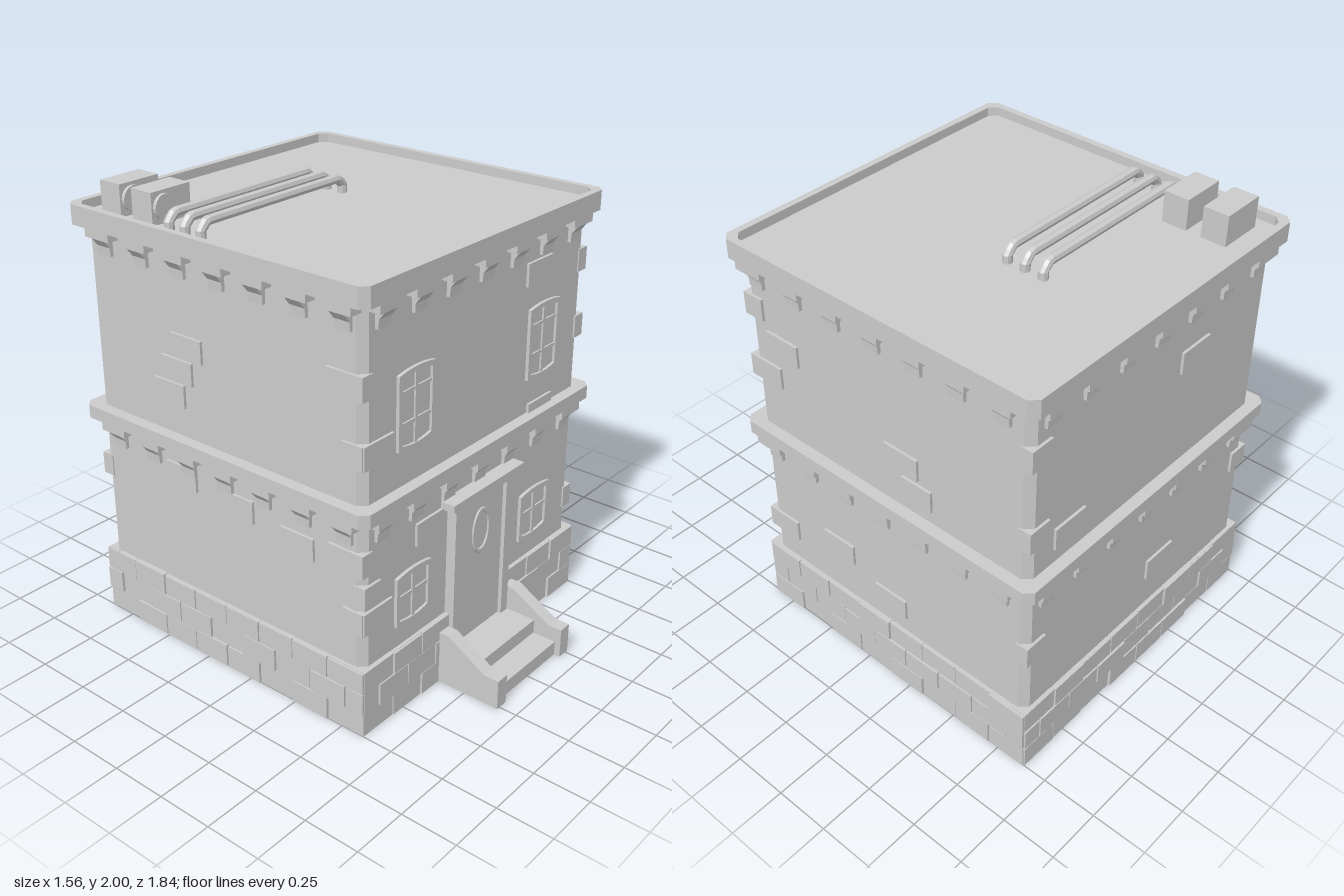
import * as THREE from 'three';

const CZ = -0.137; // building centre in z
const grey = new THREE.MeshStandardMaterial({ color: 0xcccccc, flatShading: true });
const shellGrey = new THREE.MeshStandardMaterial({ color: 0xcccccc, flatShading: true, side: THREE.DoubleSide });

function add(parent, name, geo, x = 0, y = 0, z = 0, mat = grey) {
  const m = new THREE.Mesh(geo, mat);
  m.name = name;
  m.position.set(x, y, z);
  parent.add(m);
  return m;
}

// Box given by its limits on each axis
function block(parent, name, x0, x1, y0, y1, z0, z1) {
  return add(parent, name, new THREE.BoxGeometry(x1 - x0, y1 - y0, z1 - z0),
    (x0 + x1) / 2, (y0 + y1) / 2, (z0 + z1) / 2);
}

// Open shell through chamfered squares; levels are [y, half width]
function loft(levels) {
  const ring = ([y, h]) => {
    const c = h ? h - 0.033 : 0;
    return [[h, c], [c, h], [-c, h], [-h, c], [-h, -c], [-c, -h], [c, -h], [h, -c]].map(([x, z]) => [x, y, z]);
  };
  const pos = [];
  for (let i = 0; i + 1 < levels.length; i++) {
    const a = ring(levels[i]), b = ring(levels[i + 1]);
    for (let j = 0; j < 8; j++) {
      const k = (j + 1) % 8;
      pos.push(...a[j], ...b[j], ...b[k], ...a[j], ...b[k], ...a[k]);
    }
  }
  const g = new THREE.BufferGeometry();
  g.setAttribute('position', new THREE.Float32BufferAttribute(pos, 3));
  g.computeVertexNormals();
  return g;
}

// Side profile of [z, y] points, extruded across x and centred
function sideExtrude(points, width) {
  const g = new THREE.ExtrudeGeometry(new THREE.Shape(points.map(p => new THREE.Vector2(...p))),
    { depth: width, bevelEnabled: false });
  return g.translate(0, 0, -width / 2).rotateY(-Math.PI / 2);
}

// Window outline with a gently bowed top and bottom
function bowed(T, w, y0, y1, bow) {
  const s = new T();
  s.moveTo(-w, y0 + bow);
  s.quadraticCurveTo(0, y0 - bow, w, y0 + bow);
  s.lineTo(w, y1 - bow);
  s.quadraticCurveTo(0, y1 + bow, -w, y1 - bow);
  s.closePath();
  return s;
}

function addWindow(parent, x, y0, y1, bars) {
  const g = new THREE.Group();
  g.name = 'window';
  g.position.x = x;
  parent.add(g);
  const opts = depth => ({ depth, bevelEnabled: false, curveSegments: 8 });
  const frame = bowed(THREE.Shape, 0.11, y0, y1, 0.012);
  frame.holes.push(bowed(THREE.Path, 0.09, y0 + 0.02, y1 - 0.02, 0.012));
  add(g, 'windowFrame', new THREE.ExtrudeGeometry(frame, opts(0.045)), 0, 0, 0.7);
  add(g, 'windowPane', new THREE.ExtrudeGeometry(bowed(THREE.Shape, 0.1, y0 + 0.01, y1 - 0.01, 0.012), opts(0.033)), 0, 0, 0.7);
  block(g, 'mullion', -0.008, 0.008, y0 + 0.015, y1 - 0.015, 0.71, 0.741);
  for (const y of bars) block(g, 'glazingBar', -0.095, 0.095, y - 0.007, y + 0.007, 0.71, 0.74);
}

export function createModel() {
  const root = new THREE.Group();
  root.name = 'building';
  const house = new THREE.Group();
  house.name = 'house';
  house.position.z = CZ;
  root.add(house);

  // Shells: plinth, two storeys, two cornices, sunken roof
  const shells = {
    plinth: [[0, 0.745], [0.3, 0.745], [0.3, 0.73]],
    lowerWalls: [[0.3, 0.73], [0.96, 0.73]],
    middleCornice: [[0.96, 0.73], [0.96, 0.782], [1.02, 0.782], [1.02, 0.73]],
    upperWalls: [[1.02, 0.73], [1.82, 0.73]],
    topCornice: [[1.82, 0.73], [1.82, 0.782], [1.905, 0.782], [1.905, 0.75], [1.865, 0.75]],
    roof: [[1.865, 0.75], [1.865, 0]],
  };
  for (const [name, levels] of Object.entries(shells)) add(house, name, loft(levels), 0, 0, 0, shellGrey);

  let seed = 7;
  const rand = () => (seed = (seed * 16807) % 2147483647) / 2147483647;

  // Each side: turn, corbel shift, plinth runs and raised bricks [u, y, width, height]
  const sides = [
    { name: 'frontSide', turn: 0, shift: 0, runs: [[-0.75, -0.2], [0.2, 0.75]],
      bricks: [[0.38, 1.645], [0.43, 1.01], [-0.325, 0.765], [-0.65, 1.225], [-0.685, 0.625, 0.1], [-0.65, 0.51]] },
    { name: 'rightSide', turn: 1, shift: -0.02, runs: [[-0.75, 0.75]],
      bricks: [[-0.537, 1.465], [-0.65, 1.305], [-0.685, 1.605, 0.1], [0.1, 1.25], [0.178, 1.13, 0.155],
        [-0.297, 0.55], [0.003, 0.43], [-0.65, 0.47], [0.493, 0.95, 0.11, 0.06]] },
    { name: 'backSide', turn: 2, shift: 0, runs: [[-0.75, 0.75]],
      bricks: [[-0.5, 1.14], [0.24, 1.53], [0.135, 0.51], [-0.68, 0.62, 0.11], [-0.68, 1.22, 0.11],
        [-0.68, 1.6, 0.11], [0.685, 0.73, 0.1]] },
    { name: 'leftSide', turn: 3, shift: 0.02, runs: [[-0.75, 0.75]],
      bricks: [[-0.17, 1.42], [-0.23, 1.31], [-0.28, 1.2], [0.08, 0.8], [-0.24, 0.83], [0.4, 0.75],
        [0.685, 1.225, 0.1], [0.65, 1.5], [0.65, 0.77], [0.685, 0.51, 0.1]] },
  ];
  const front = [];
  for (const s of sides) {
    const g = new THREE.Group();
    g.name = s.name;
    g.rotation.y = s.turn * Math.PI / 2;
    house.add(g);
    front.push(g);

    // Raised wall bricks
    for (const [u, y, w = 0.175, h = 0.1] of s.bricks)
      add(g, 'wallBrick', new THREE.BoxGeometry(w, h, 0.06), u, y, 0.712);

    // Plinth courses in running bond, each brick set out a little differently
    for (const [a, b] of s.runs) {
      const n = Math.round((b - a) / 0.18), w = (b - a) / n;
      for (let row = 0; row < 3; row++) {
        for (let i = 0; i < n + row % 2; i++) {
          const u0 = a + (i - (row % 2) / 2) * w;
          const out = 0.747 + rand() * 0.012;
          block(g, 'plinthBrick', Math.max(a, u0) + 0.003, Math.min(b, u0 + w) - 0.003,
            row * 0.1 + (row ? 0.003 : 0), row * 0.1 + 0.098 + rand() * 0.006, 0.68, out);
        }
      }
    }

    // Corbels with wider heads below both cornices
    for (const y of [0.96, 1.82]) {
      for (let i = -3; i <= 3; i++) {
        const u = i * 0.209 + s.shift;
        add(g, 'corbel', sideExtrude([[0.72, 0], [0.72, -0.11], [0.745, -0.11], [0.747, -0.072],
          [0.776, -0.035], [0.776, 0]], 0.074), u, y, 0);
        block(g, 'corbelHead', u - 0.069, u + 0.069, y - 0.036, y, 0.72, 0.779);
      }
    }
  }
  const f = front[0];

  // Windows
  for (const x of [-0.43, 0.43]) {
    addWindow(f, x, 1.165, 1.5, [1.41, 1.28]);
    addWindow(f, x, 0.39, 0.635, [0.525]);
  }

  // Door with oval light, jambs and lintel
  block(f, 'door', -0.155, 0.155, 0.12, 0.79, 0.69, 0.757);
  for (const s of [-1, 1]) block(f, 'doorJamb', s * 0.178 - 0.023, s * 0.178 + 0.023, 0.1, 0.8, 0.69, 0.775);
  block(f, 'doorHead', -0.155, 0.155, 0.783, 0.8, 0.69, 0.775);
  block(f, 'lintel', -0.23, 0.23, 0.8, 0.825, 0.69, 0.79);
  block(f, 'lintelCap', -0.247, 0.247, 0.815, 0.845, 0.69, 0.797);
  const oval = add(f, 'doorLightRing', new THREE.TorusGeometry(0.055, 0.007, 6, 28), 0, 0.615, 0.757);
  oval.scale.set(1, 1.76, 1);

  // Steps between sloping side walls
  block(f, 'lowerStep', -0.21, 0.21, 0, 0.065, 0.7, 1.027);
  block(f, 'upperStep', -0.21, 0.21, 0.06, 0.13, 0.7, 0.917);
  for (const x of [-0.236, 0.236])
    add(f, 'stairWall', sideExtrude([[0.7, 0], [1.055, 0], [1.055, 0.135], [0.987, 0.135],
      [0.8, 0.243], [0.7, 0.243]], 0.062), x);

  // Rooftop ventilation units with round fans
  for (const z of [-0.745, -0.562]) {
    block(root, 'roofUnit', -0.69, -0.485, 1.86, 2, z - 0.057, z + 0.057);
    const fan = add(root, 'fan', new THREE.CylinderGeometry(0.052, 0.052, 0.016, 20), -0.63, 1.935, z + 0.064);
    fan.rotation.x = Math.PI / 2;
  }

  // Rooftop pipes, bent down at both ends
  const path = new THREE.CurvePath();
  const pts = [[-0.676, 1.86], [-0.676, 1.9], [-0.645, 1.93], [0.115, 1.93], [0.146, 1.9], [0.146, 1.86]]
    .map(([x, y]) => new THREE.Vector3(x, y, 0));
  for (let i = 0; i + 1 < pts.length; i++) path.add(new THREE.LineCurve3(pts[i], pts[i + 1]));
  const pipe = new THREE.TubeGeometry(path, 70, 0.021, 8);
  for (const z of [-0.425, -0.337, -0.25]) add(root, 'roofPipe', pipe, 0, 0, z);

  return root;
}
